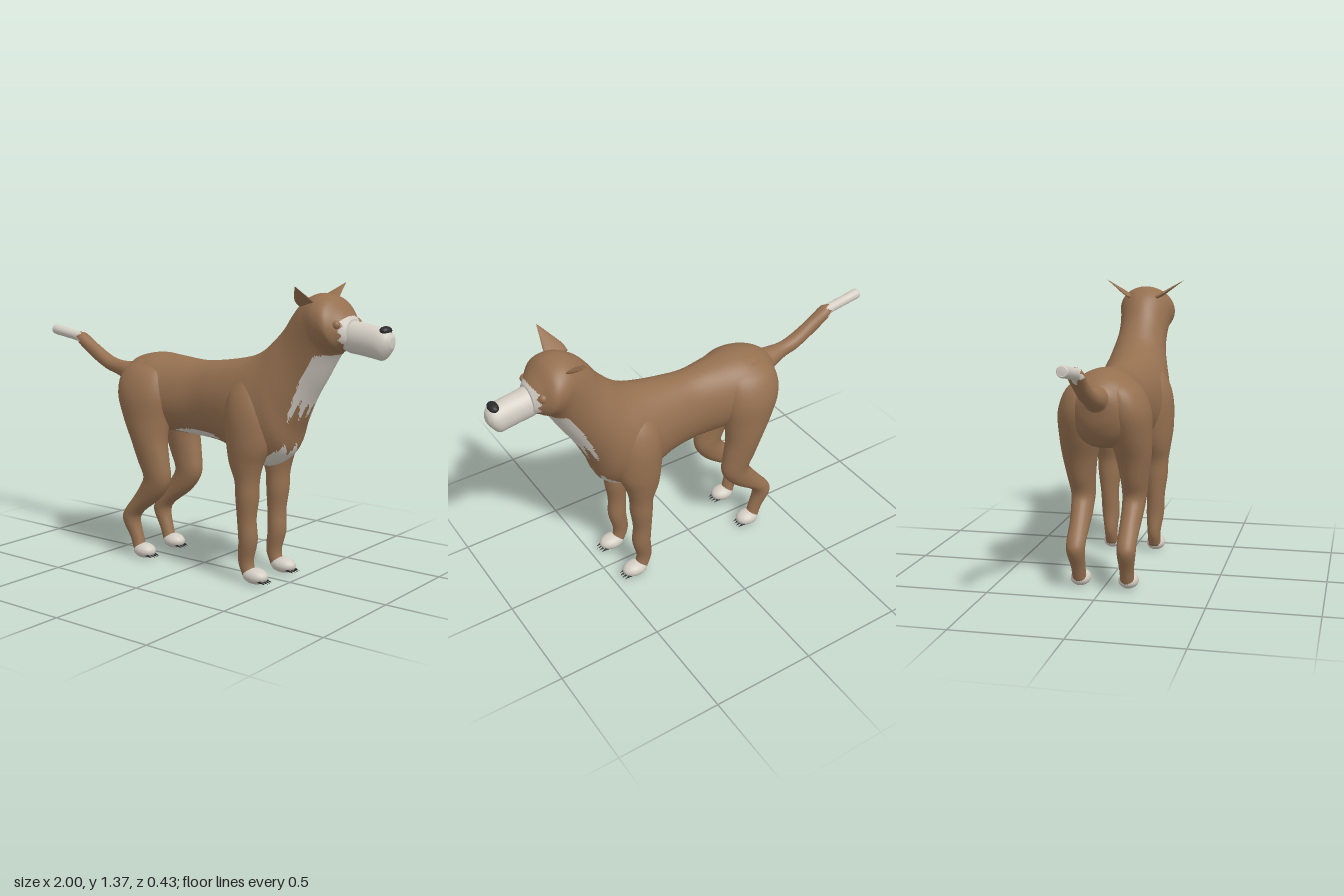
import * as THREE from 'three';

const mat = (name, color) => {
  const m = new THREE.MeshStandardMaterial({ color });
  m.name = name;
  return m;
};

// Zigzag between 0 and 1, for ragged fur edges
const zig = (t) => Math.abs((((t % 1) + 1) % 1) * 2 - 1);

// Skin over elliptical sections [centre, u, v]; paint(x, y, z, k) gives the
// material index of a face, with k the cosine of its angle round the section
function loft(sections, rings, sides, paint = () => 0) {
  const [C, U, V] = [0, 1, 2].map((n) =>
    new THREE.CatmullRomCurve3(sections.map((s) => new THREE.Vector3(...s[n])), false, 'catmullrom', 0.5));
  const along = C.getPoint(1).sub(C.getPoint(0));
  const turn = U.getPoint(0.5).cross(V.getPoint(0.5)).dot(along) < 0 ? -1 : 1;
  const pos = [];
  for (let i = 0; i <= rings; i++) {
    const c = C.getPoint(i / rings), u = U.getPoint(i / rings), v = V.getPoint(i / rings);
    for (let j = 0; j < sides; j++) {
      const a = (j / sides) * Math.PI * 2;
      const p = c.clone().addScaledVector(u, Math.cos(a)).addScaledVector(v, turn * Math.sin(a));
      pos.push(p.x, p.y, p.z);
    }
  }
  const start = pos.length / 3;
  pos.push(...C.getPoint(0).toArray(), ...C.getPoint(1).toArray());

  const faces = [[], []];
  const add = (a, b, c, k) => {
    const mid = [0, 1, 2].map((n) => (pos[a * 3 + n] + pos[b * 3 + n] + pos[c * 3 + n]) / 3);
    faces[paint(...mid, k)].push(a, b, c);
  };
  for (let j = 0; j < sides; j++) {
    const n = (j + 1) % sides, k = Math.cos(((j + 0.5) / sides) * Math.PI * 2);
    for (let i = 0; i < rings; i++) {
      const r = i * sides, q = r + sides;
      add(r + j, r + n, q + j, k);
      add(r + n, q + n, q + j, k);
    }
    add(start, n, j, k);
    add(start + 1, rings * sides + j, rings * sides + n, k);
  }
  const g = new THREE.BufferGeometry();
  g.setAttribute('position', new THREE.Float32BufferAttribute(pos, 3));
  g.setIndex([...faces[0], ...faces[1]]);
  g.addGroup(0, faces[0].length, 0);
  g.addGroup(faces[0].length, faces[1].length, 1);
  g.computeVertexNormals();
  return g;
}

// Section from a top point, a bottom point and a half width
const slice = ([tx, ty, bx, by, w]) =>
  [[(tx + bx) / 2, (ty + by) / 2, 0], [(tx - bx) / 2, (ty - by) / 2, 0], [0, 0, w]];

// Level leg section from its height and its x and z limits
const legSlice = (s) => ([y, x0, x1, z0, z1]) =>
  [[(x0 + x1) / 2, y, s * (z0 + z1) / 2], [(x1 - x0) / 2, 0, 0], [0, 0, (z1 - z0) / 2]];

const BODY = [
  [-0.465, 0.92, -0.465, 0.86, 0.04], [-0.42, 0.965, -0.44, 0.76, 0.10],
  [-0.36, 0.995, -0.38, 0.68, 0.16], [-0.26, 1.012, -0.27, 0.645, 0.18],
  [-0.14, 1.003, -0.14, 0.635, 0.152], [0, 0.992, 0, 0.63, 0.13],
  [0.12, 1.002, 0.14, 0.615, 0.143], [0.24, 1.022, 0.26, 0.57, 0.165],
  [0.32, 1.045, 0.39, 0.535, 0.18], [0.38, 1.08, 0.5, 0.60, 0.168],
  [0.43, 1.125, 0.548, 0.72, 0.148], [0.48, 1.18, 0.61, 0.85, 0.128],
  [0.52, 1.24, 0.67, 0.95, 0.122], [0.57, 1.295, 0.72, 1.04, 0.128],
  [0.64, 1.33, 0.745, 1.075, 0.141], [0.715, 1.32, 0.765, 1.085, 0.138],
  [0.77, 1.27, 0.785, 1.095, 0.10], [0.81, 1.225, 0.81, 1.10, 0.065],
];
const MUZZLE = [
  [0.76, 1.22, 0.76, 1.10, 0.055], [0.80, 1.222, 0.80, 1.082, 0.062],
  [0.86, 1.212, 0.86, 1.074, 0.061], [0.92, 1.203, 0.92, 1.064, 0.06],
  [0.96, 1.193, 0.955, 1.06, 0.057], [0.985, 1.18, 0.98, 1.085, 0.045],
  [0.998, 1.16, 0.998, 1.115, 0.022],
];
const TAIL = [
  [-0.41, 0.955, -0.41, 0.80, 0.07], [-0.47, 0.95, -0.48, 0.85, 0.052],
  [-0.54, 0.952, -0.55, 0.878, 0.036], [-0.61, 0.972, -0.62, 0.90, 0.037],
  [-0.70, 1.022, -0.72, 0.952, 0.033], [-0.78, 1.07, -0.80, 1.01, 0.036],
  [-0.815, 1.077, -0.825, 1.027, 0.026], [-0.90, 1.09, -0.91, 1.042, 0.024],
  [-0.985, 1.105, -0.99, 1.055, 0.025], [-0.998, 1.09, -0.998, 1.066, 0.014],
];
const FRONT_LEG = [
  [0.03, 0.32, 0.39, 0.08, 0.145], [0.1, 0.293, 0.37, 0.08, 0.145],
  [0.2, 0.30, 0.39, 0.072, 0.16], [0.3, 0.295, 0.385, 0.075, 0.165],
  [0.4, 0.29, 0.397, 0.065, 0.178], [0.48, 0.285, 0.40, 0.063, 0.182],
  [0.56, 0.255, 0.42, 0.05, 0.195], [0.65, 0.235, 0.455, 0.02, 0.206],
  [0.78, 0.22, 0.46, 0, 0.206], [0.88, 0.23, 0.44, 0, 0.18], [0.97, 0.28, 0.40, 0, 0.12],
];
const HIND_LEG = [
  [0.03, -0.345, -0.28, 0.08, 0.145], [0.1, -0.37, -0.30, 0.08, 0.147],
  [0.18, -0.41, -0.32, 0.075, 0.16], [0.23, -0.40, -0.295, 0.073, 0.162],
  [0.3, -0.345, -0.2, 0.07, 0.166], [0.36, -0.30, -0.145, 0.068, 0.172],
  [0.42, -0.27, -0.122, 0.065, 0.178], [0.5, -0.30, -0.13, 0.06, 0.19],
  [0.6, -0.335, -0.145, 0.045, 0.206], [0.7, -0.385, -0.14, 0.02, 0.213],
  [0.82, -0.43, -0.13, 0, 0.212], [0.92, -0.42, -0.15, 0, 0.172], [0.98, -0.36, -0.2, 0, 0.1],
];

// White fur on the face, throat, chest and belly
function bodyPaint(x, y, z, k) {
  if (x > 0.782 + 0.015 * zig(y * 25)) return 1;
  if (k > 0 || Math.abs(z) > 0.1) return 0;
  const throat = x > 0.5 && y < 1.07 && y > 0.76 + 0.1 * zig(z * 22 + 0.5);
  const chest = x > 0.39 && y < 0.6 + 0.06 * zig(z * 14);
  const belly = y < 0.67 && x > -0.15 + 0.1 * zig(z * 24) && x < 0.17 - 0.1 * zig(z * 20);
  return throat || chest || belly ? 1 : 0;
}

export function createModel() {
  const dog = new THREE.Group();
  dog.name = 'dog';
  const brown = mat('brown fur', 0x957050);
  const white = mat('white fur', 0xd2ccc2);
  const black = mat('black nose and claws', 0x2a2a2c);
  const add = (name, geometry, material, parent = dog) => {
    const m = new THREE.Mesh(geometry, material);
    m.name = name;
    parent.add(m);
    return m;
  };
  const ball = (name, material, p, r, parent) => {
    const m = add(name, new THREE.SphereGeometry(1, 24, 16), material, parent);
    m.position.set(...p);
    m.scale.set(...r);
  };

  // Trunk, neck and head in one skin
  add('body', loft(BODY.map(slice), 170, 72, bodyPaint), [brown, white]);
  add('muzzle', loft(MUZZLE.map(slice), 30, 32), white);
  ball('nose', black, [0.962, 1.185, 0], [0.024, 0.02, 0.036]);
  add('tail', loft(TAIL.map(slice), 80, 24,
    (x, y, z) => (x < -0.785 - 0.035 * zig(Math.atan2(z, y - 1.045) * 0.8) ? 1 : 0)), [brown, white]);

  for (const s of [1, -1]) {
    const side = s > 0 ? 'Right' : 'Left';
    ball('eye' + side, brown, [0.772, 1.205, s * 0.088], [0.02, 0.02, 0.018]);

    // Thin ear sloping outwards to a point
    const ear = [[0.617, 1.28, 0.07, 0.05], [0.62, 1.302, 0.105, 0.046],
      [0.629, 1.333, 0.152, 0.025], [0.64, 1.366, 0.203, 0.002]];
    add('ear' + side, loft(ear.map(([x, y, z, w]) =>
      [[x, y, s * z], [w, 0, 0], [0, 0.008 * w / 0.05, -s * 0.005 * w / 0.05]]), 12, 16), brown);

    for (const [name, rows, px, rx] of [['front', FRONT_LEG, 0.385, 0.065], ['hind', HIND_LEG, -0.287, 0.06]]) {
      const leg = new THREE.Group();
      leg.name = name + 'Leg' + side;
      dog.add(leg);
      add('leg', loft(rows.map(legSlice(s)), 60, 28), brown, leg);
      ball('paw', white, [px, 0.037, s * 0.113], [rx, 0.037, 0.047], leg);
      // Four claws
      for (let i = 0; i < 4; i++) {
        const claw = add('claw', new THREE.ConeGeometry(0.008, 0.04, 8), black, leg);
        const off = i - 1.5;
        claw.position.set(px + rx - 0.003 - 0.004 * Math.abs(off), 0.018, s * 0.113 + off * 0.017);
        claw.rotation.z = -Math.PI / 2 - 0.25;
      }
    }
  }
  return dog;
}
